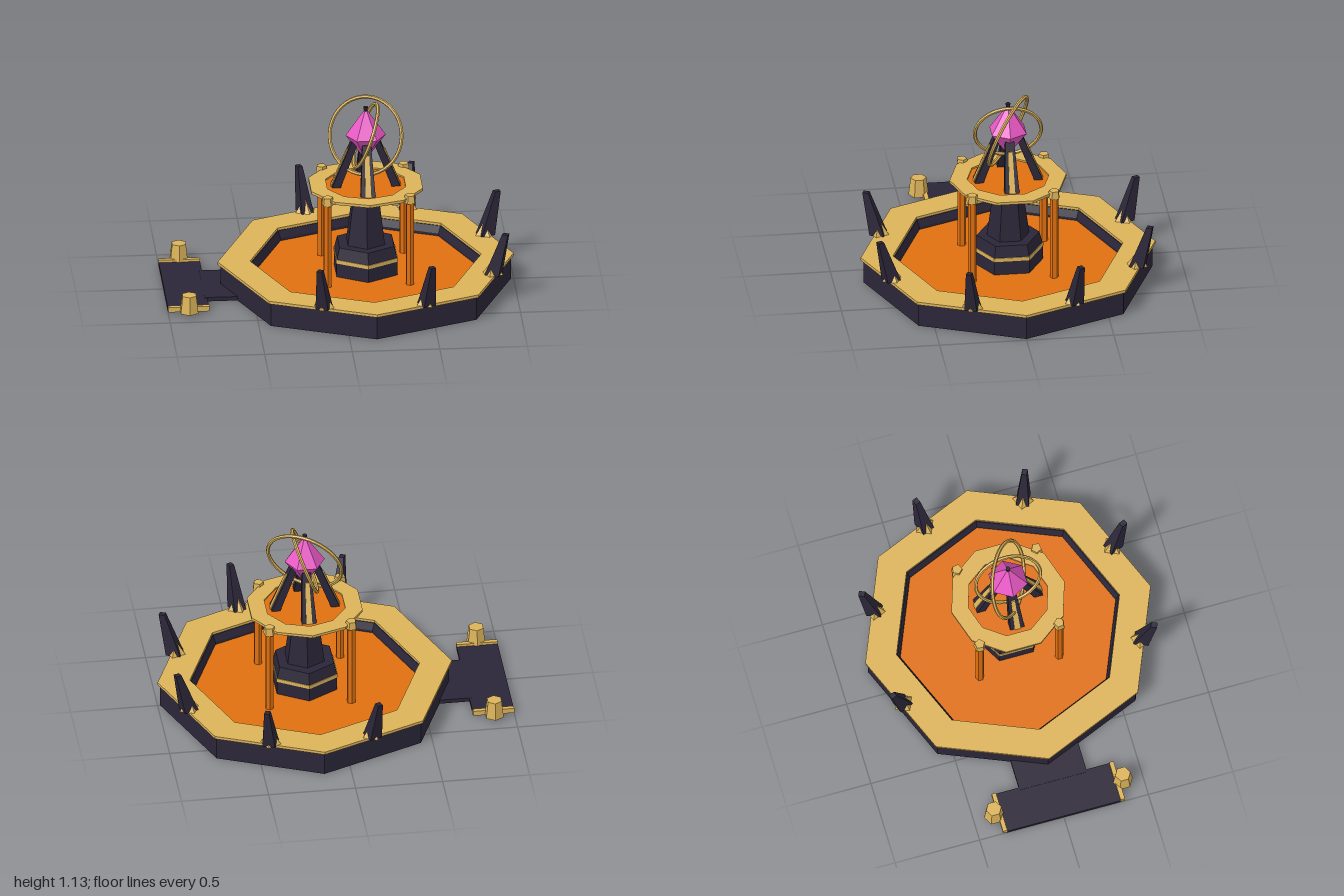
import * as THREE from 'three';

const mat = (color) => new THREE.MeshStandardMaterial({ color, flatShading: true, side: THREE.DoubleSide });
const dark = mat(0x2b2638), gold = mat(0xdcb35a), orange = mat(0xe07010), pink = mat(0xe858c4);

export function createModel() {
  const model = new THREE.Group();
  // Everything but the landing stands around the basin's axis
  const fountain = new THREE.Group();
  fountain.name = 'fountain';
  fountain.position.x = 0.155;
  model.add(fountain);

  const add = (parent, name, geometry, material, x = 0, y = 0, z = 0) => {
    const m = new THREE.Mesh(geometry, material);
    m.name = name;
    m.position.set(x, y, z);
    parent.add(m);
    return m;
  };
  // Faceted turned part; profile is [radius, height] pairs, bottom to top on the outside
  const turned = (name, sides, profile, material) => add(fountain, name,
    new THREE.LatheGeometry(profile.map(([r, y]) => new THREE.Vector2(r, y)), sides), material);
  // Straight tapered part between two heights
  const frustum = (parent, name, sides, r0, r1, y0, y1, material, x = 0, z = 0) => add(parent, name,
    new THREE.CylinderGeometry(r1, r0, y1 - y0, sides), material, x, (y0 + y1) / 2, z);
  // Box tapered toward the top and sheared outward along +z
  const leaningBox = (w0, d0, w1, d1, h, z0, z1) => {
    const g = new THREE.BoxGeometry(1, 1, 1);
    const p = g.attributes.position;
    for (let i = 0; i < p.count; i++) {
      const top = p.getY(i) > 0;
      p.setXYZ(i, p.getX(i) * (top ? w1 : w0), top ? h : 0,
        p.getZ(i) * (top ? d1 : d0) + (top ? z1 : z0));
    }
    g.computeVertexNormals();
    return g;
  };

  // Octagonal basin
  turned('basinWall', 8, [[0.69, 0], [0.83, 0], [0.83, 0.142], [0.655, 0.142], [0.638, 0.1], [0.638, 0.06]], dark);
  frustum(fountain, 'basinFloor', 8, 0.69, 0.69, 0.005, 0.02, dark);
  turned('basinRim', 8, [[0.66, 0.14], [0.845, 0.14], [0.845, 0.157], [0.66, 0.157], [0.66, 0.14]], gold);
  turned('glowBand', 8, [[0.658, 0.142], [0.643, 0.105]], pink);
  frustum(fountain, 'basinPool', 8, 0.64, 0.64, 0.06, 0.085, orange);

  // Hexagonal pedestal and column
  frustum(fountain, 'pedestalFoot', 6, 0.2, 0.2, 0.08, 0.17, dark);
  frustum(fountain, 'pedestalBand', 6, 0.203, 0.203, 0.168, 0.19, gold);
  frustum(fountain, 'pedestalBlock', 6, 0.198, 0.18, 0.19, 0.258, dark);
  frustum(fountain, 'column', 6, 0.122, 0.085, 0.258, 0.535, dark);

  // Upper ten-sided tray
  turned('trayBowl', 10, [[0, 0.53], [0.11, 0.53], [0.225, 0.595], [0.3, 0.601]], dark);
  turned('trayRim', 10, [[0.235, 0.602], [0.335, 0.602], [0.335, 0.618], [0.235, 0.618], [0.235, 0.602]], gold);
  frustum(fountain, 'trayPool', 10, 0.237, 0.237, 0.6, 0.609, orange);

  // Falling streams with spouts at the tray rim
  for (const sx of [-1, 1]) for (const sz of [-1, 1]) {
    frustum(fountain, 'stream', 6, 0.025, 0.025, 0.08, 0.602, orange, sx * 0.235, sz * 0.235);
    const spout = frustum(fountain, 'spout', 5, 0.036, 0.03, 0.588, 0.635, gold, sx * 0.235, sz * 0.235);
    spout.rotation.y = Math.atan2(sx, sz);
  }

  // Four leaning legs holding the crystal, each with a gold inlay
  for (let i = 0; i < 4; i++) {
    const leg = new THREE.Group();
    leg.name = 'crystalLeg';
    leg.position.y = 0.605;
    leg.rotation.y = i * Math.PI / 2;
    fountain.add(leg);
    add(leg, 'legBeam', leaningBox(0.085, 0.05, 0.05, 0.04, 0.275, 0.172, 0.062), dark);
    add(leg, 'legInlay', leaningBox(0.034, 0.012, 0.024, 0.012, 0.225, 0.196, 0.104), gold);
  }

  // Crystal: hexagonal double pyramid with a dark tip
  const crystal = turned('crystal', 6, [[0, 0.76], [0.115, 0.915], [0, 1.08]], pink);
  crystal.rotation.y = Math.PI / 6;
  frustum(fountain, 'crystalTip', 6, 0.01, 0.014, 1.05, 1.088, dark);

  // Two tilted rings around the crystal
  const ring = (name, radius, normal) => {
    const m = add(fountain, name, new THREE.TorusGeometry(radius, 0.011, 6, 40), gold, 0, 0.91, 0);
    m.quaternion.setFromUnitVectors(new THREE.Vector3(0, 0, 1), normal.normalize());
  };
  ring('outerRing', 0.222, new THREE.Vector3(-0.45, 0.35, 0.82));
  ring('innerRing', 0.19, new THREE.Vector3(0.934, -0.358, 0));

  // Spikes on the rim, skipping the two edges beside the landing
  for (const deg of [-157.5, -22.5, 22.5, 67.5, 112.5, 157.5]) {
    const spike = new THREE.Group();
    spike.name = 'rimSpike';
    spike.position.y = 0.155;
    spike.rotation.y = THREE.MathUtils.degToRad(deg);
    fountain.add(spike);
    add(spike, 'spikeBlade', leaningBox(0.075, 0.085, 0.03, 0.035, 0.255, 0.765, 0.838), dark);
    add(spike, 'spikeFoot', new THREE.ConeGeometry(0.062, 0.09, 4), gold, 0, 0.045, 0.762);
  }

  // Landing beside the basin
  const landing = new THREE.Group();
  landing.name = 'landing';
  model.add(landing);
  add(landing, 'landingDeck', new THREE.BoxGeometry(0.236, 0.022, 0.68), dark, -0.882, 0.011, 0);
  add(landing, 'gangway', new THREE.BoxGeometry(0.24, 0.024, 0.4), dark, -0.66, 0.012, 0);
  for (const s of [-1, 1]) {
    add(landing, 'landingTrim', new THREE.BoxGeometry(0.236, 0.03, 0.026), gold, -0.882, 0.022, s * 0.348);
    frustum(landing, 'landingBollard', 6, 0.058, 0.045, 0.015, 0.12, gold, -0.882, s * 0.382);
  }
  return model;
}
